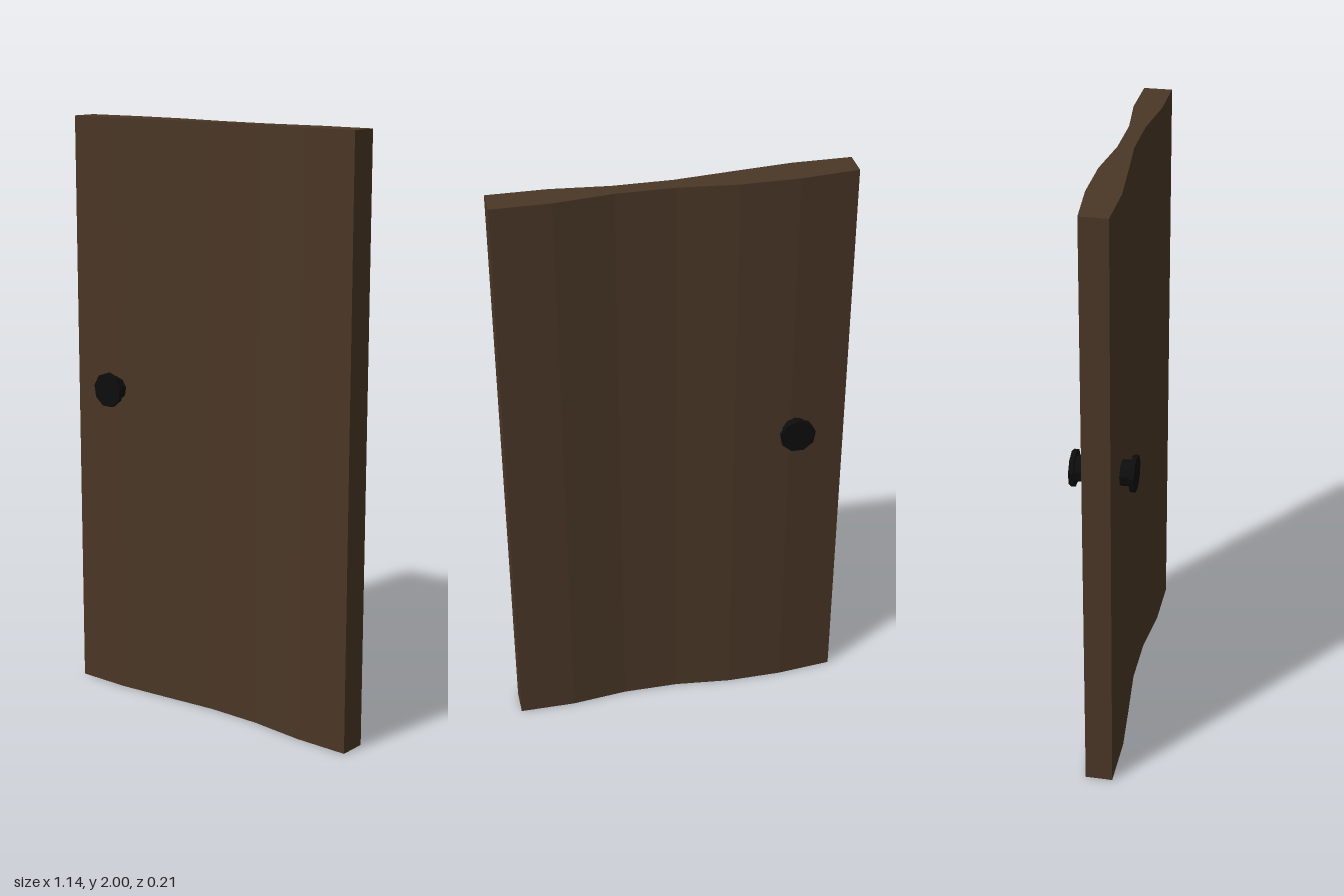
import * as THREE from 'three';

export function createModel() {
  const model = new THREE.Group();
  const wood = new THREE.MeshStandardMaterial({ color: 0x4a3726 });
  wood.name = 'darkWood';
  const iron = new THREE.MeshStandardMaterial({ color: 0x0d0d0d });
  iron.name = 'blackIron';
  wood.flatShading = iron.flatShading = true;

  // Warped door panel: front and back depth at seven evenly spaced columns
  const front = [0.055, 0.055, 0.037, 0.018, 0.018, 0.037, 0.037];
  const back = [-0.035, -0.054, -0.055, -0.035, -0.035, -0.057, -0.057];
  const column = (z, i) => new THREE.Vector2(-0.57 + i * 0.19, -z);
  const outline = [...front.map(column), ...back.map(column).reverse()];
  const panelGeometry = new THREE.ExtrudeGeometry(new THREE.Shape(outline), {
    depth: 2, bevelEnabled: false,
  });
  panelGeometry.rotateX(-Math.PI / 2);
  const panel = new THREE.Mesh(panelGeometry, wood);
  panel.name = 'doorPanel';
  model.add(panel);

  // Nine-sided knob: one spindle through the panel and a disc on each end
  const knob = new THREE.Group();
  knob.name = 'doorKnob';
  knob.position.set(-0.395, 1.084, 0);
  const addDisc = (name, radius, length, z) => {
    const geometry = new THREE.CylinderGeometry(radius, radius, length, 9);
    geometry.rotateX(-Math.PI / 2);
    const mesh = new THREE.Mesh(geometry, iron);
    mesh.name = name;
    mesh.position.z = z;
    knob.add(mesh);
  };
  addDisc('knobSpindle', 0.042, 0.18, 0);
  addDisc('frontKnobDisc', 0.06, 0.015, 0.0955);
  addDisc('backKnobDisc', 0.06, 0.015, -0.0955);
  model.add(knob);

  return model;
}
